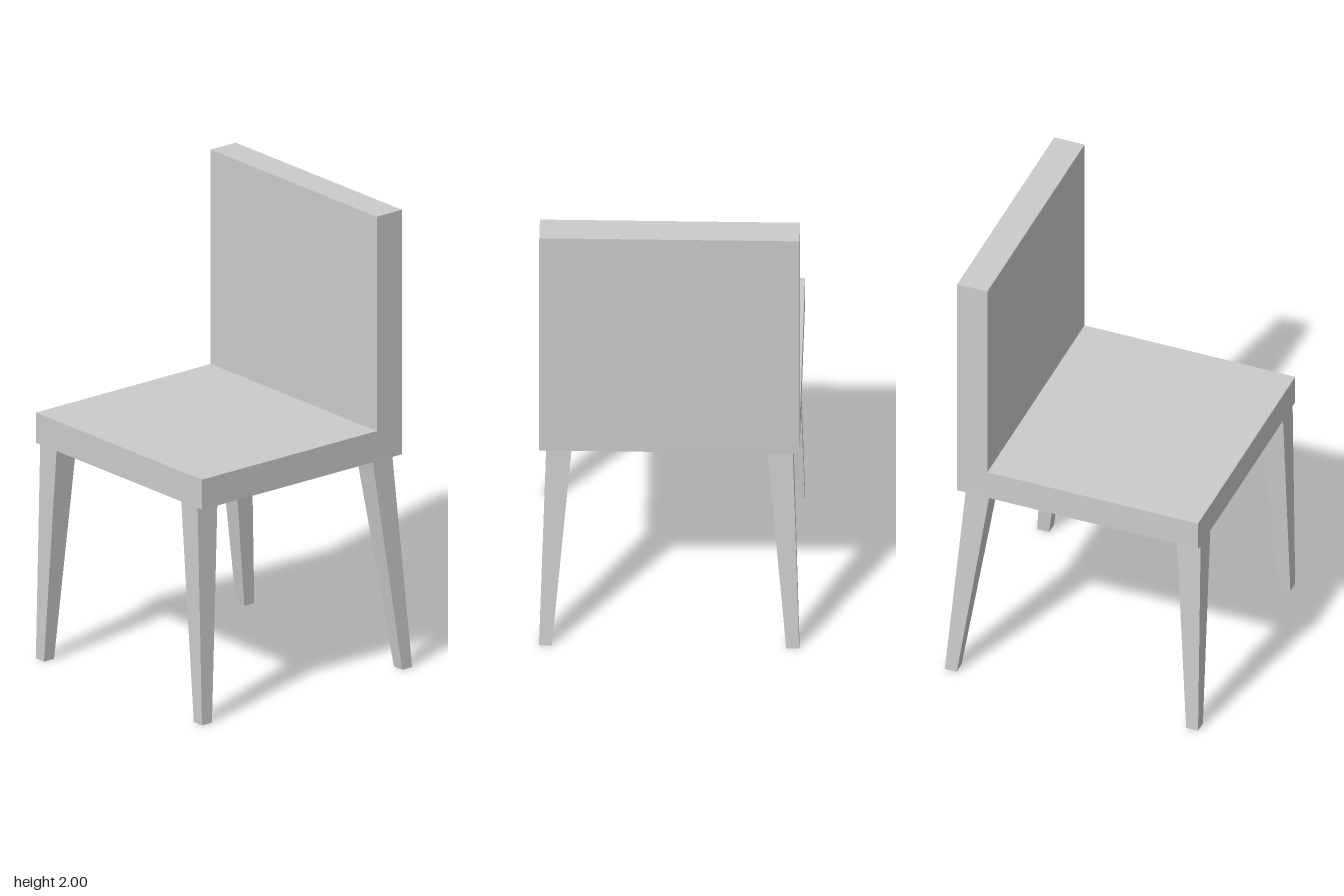
import * as THREE from 'three';

const SEAT_BOTTOM = 0.937, SEAT_TOP = 1.068, HALF_DEPTH = 0.533;

export function createModel() {
  const group = new THREE.Group();
  const material = new THREE.MeshStandardMaterial({ color: 0xcccccc, flatShading: true });

  const add = (name, geometry) => {
    const mesh = new THREE.Mesh(geometry, material);
    mesh.name = name;
    group.add(mesh);
  };

  // Seat and backrest: one L-shaped side profile, extruded across the width
  const profile = new THREE.Shape([
    [-0.56, SEAT_BOTTOM], [0.503, SEAT_BOTTOM], [0.503, 2],
    [0.37, 2], [0.37, SEAT_TOP], [-0.56, SEAT_TOP],
  ].map(([x, y]) => new THREE.Vector2(x, y)));
  const body = new THREE.ExtrudeGeometry(profile, { depth: 2 * HALF_DEPTH, bevelEnabled: false });
  body.translate(0, 0, -HALF_DEPTH);
  add('seatAndBackrest', body);

  // Tapered leg: a box whose ends are fitted to a top and a bottom x range
  const legGeometry = (topX, bottomX, side) => {
    const geometry = new THREE.BoxGeometry(1, SEAT_BOTTOM, 1);
    geometry.translate(0, SEAT_BOTTOM / 2, 0);
    const p = geometry.attributes.position;
    for (let i = 0; i < p.count; i++) {
      const top = p.getY(i) > 0.1;
      const xs = top ? topX : bottomX;
      const zs = top ? [0.4, 0.505] : [0.48, HALF_DEPTH];
      const outer = p.getZ(i) * side > 0 ? 1 : 0;
      p.setX(i, xs[p.getX(i) > 0 ? 1 : 0]);
      p.setZ(i, side * zs[outer]);
    }
    geometry.computeVertexNormals();
    return geometry;
  };

  // Upright legs under the seat edge, splayed legs under the backrest
  for (const side of [1, -1]) {
    const suffix = side > 0 ? 'A' : 'B';
    add('seatEdgeLeg' + suffix, legGeometry([-0.56, -0.455], [-0.56, -0.507], side));
    add('backrestLeg' + suffix, legGeometry([0.37, 0.475], [0.505, 0.558], side));
  }

  return group;
}
